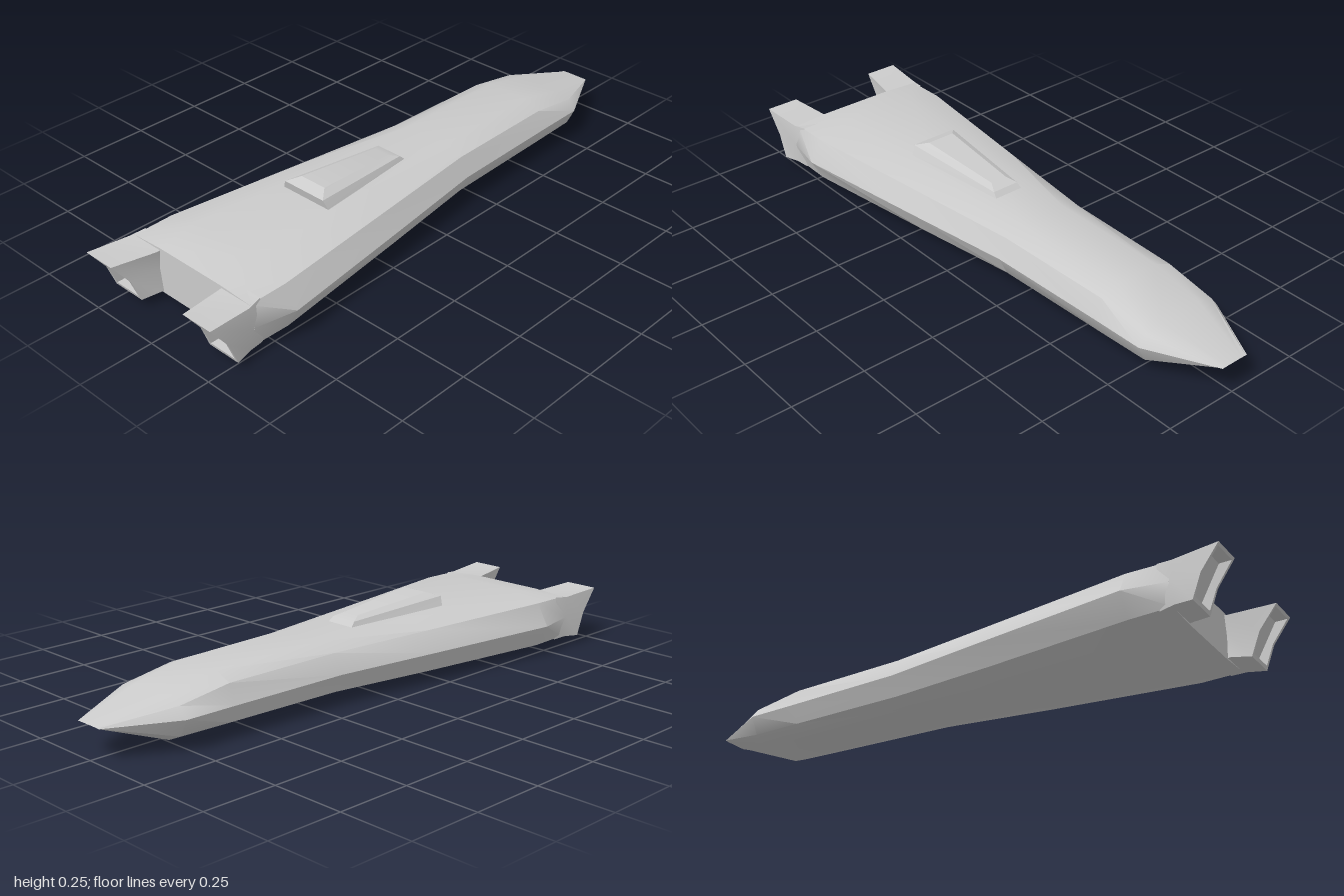
import * as THREE from 'three';
import { toCreasedNormals } from 'three/addons/utils/BufferGeometryUtils.js';

const material = new THREE.MeshStandardMaterial({ color: 0xcccccc });

// Skin a list of equal-length rings, closing the last one with a fan.
function loft(name, rings, crease) {
  const pos = [];
  const tri = (a, b, c) => pos.push(...a, ...b, ...c);
  const n = rings[0].length;
  for (let k = 0; k < rings.length - 1; k++) {
    for (let i = 0; i < n; i++) {
      const j = (i + 1) % n;
      const a = rings[k][i], b = rings[k][j], c = rings[k + 1][j], d = rings[k + 1][i];
      tri(a, b, c);
      tri(a, c, d);
    }
  }
  const end = rings[rings.length - 1];
  for (let i = 1; i < n - 1; i++) tri(end[0], end[i], end[i + 1]);
  const g = new THREE.BufferGeometry();
  g.setAttribute('position', new THREE.Float32BufferAttribute(pos, 3));
  const mesh = new THREE.Mesh(toCreasedNormals(g, crease), material);
  mesh.name = name;
  return mesh;
}

// Ten-sided hull section: flat top and bottom, sloped shoulders, side chine.
function hullRing([z, top, shoulder, side, yTop, yHigh, yLow, yBottom]) {
  const right = [[top, yBottom], [shoulder, yLow], [side, 0.107], [shoulder, yHigh], [top, yTop]];
  const left = right.map(([x, y]) => [-x, y]).reverse();
  return [...right, ...left].map(([x, y]) => [x, y, z]);
}

// Slanted, kinked six-point nozzle section on one side.
function nozzleRing(side, rows) {
  // rows, bottom to top: [inner x, outer x, y, z]
  const outer = rows.map(([, x, y, z]) => [side * x, y, z]);
  const inner = rows.map(([x, , y, z]) => [side * x, y, z]).reverse();
  const ring = [...outer, ...inner];
  return side > 0 ? ring : ring.reverse();
}

function nozzle(side) {
  const base = [[0.133, 0.255, 0.03, 0.8], [0.143, 0.268, 0.107, 0.8], [0.133, 0.255, 0.184, 0.8]];
  const neck = [[0.137, 0.264, 0.034, 0.85], [0.145, 0.27, 0.107, 0.85], [0.137, 0.264, 0.178, 0.85]];
  const exit = [[0.154, 0.275, 0.028, 0.91], [0.156, 0.275, 0.107, 0.94], [0.16, 0.275, 0.187, 1]];
  const lip = [[0.164, 0.265, 0.04, 0.914], [0.164, 0.265, 0.107, 0.94], [0.168, 0.265, 0.18, 0.994]];
  const deep = lip.map(([a, b, y, z]) => [a, b, y, z - 0.04]);
  return loft(side > 0 ? 'leftNozzle' : 'rightNozzle',
    [base, neck, exit, lip, deep].map(rows => nozzleRing(side, rows)), 0.6);
}

// Four-cornered canopy ring: front half-width, y, z, then the same at the rear.
const canopyRing = ([fx, fy, fz, rx, ry, rz]) =>
  [[rx, ry, rz], [fx, fy, fz], [-fx, fy, fz], [-rx, ry, rz]];

export function createModel() {
  const group = new THREE.Group();
  group.name = 'spaceship';

  // Hull from pointed nose to blunt stern
  const stations = [
    // z, top, shoulder, side, yTop, yHigh, yLow, yBottom
    [-1, 0.03, 0.045, 0.05, 0.108, 0.1075, 0.1065, 0.106],
    [-0.78, 0.08, 0.135, 0.163, 0.157, 0.143, 0.05, 0.025],
    [-0.6, 0.08, 0.14, 0.167, 0.195, 0.17, 0.048, 0.024],
    [-0.18, 0.085, 0.15, 0.18, 0.196, 0.172, 0.044, 0.023],
    [0.2, 0.1, 0.195, 0.232, 0.202, 0.176, 0.036, 0.006],
    [0.7, 0.135, 0.255, 0.298, 0.212, 0.182, 0.031, 0],
    [0.84, 0.135, 0.255, 0.27, 0.187, 0.18, 0.034, 0.027],
  ];
  group.add(loft('hull', stations.map(hullRing), 0.75));

  // Raised canopy on the spine
  group.add(loft('canopy', [
    [0.055, 0.19, -0.02, 0.1, 0.2, 0.375],
    [0.048, 0.214, 0.005, 0.083, 0.236, 0.385],
    [0.03, 0.226, 0.04, 0.05, 0.25, 0.345],
  ].map(canopyRing), 0.4));

  // Twin rear engine nozzles
  for (const side of [1, -1]) group.add(nozzle(side));
  return group;
}
